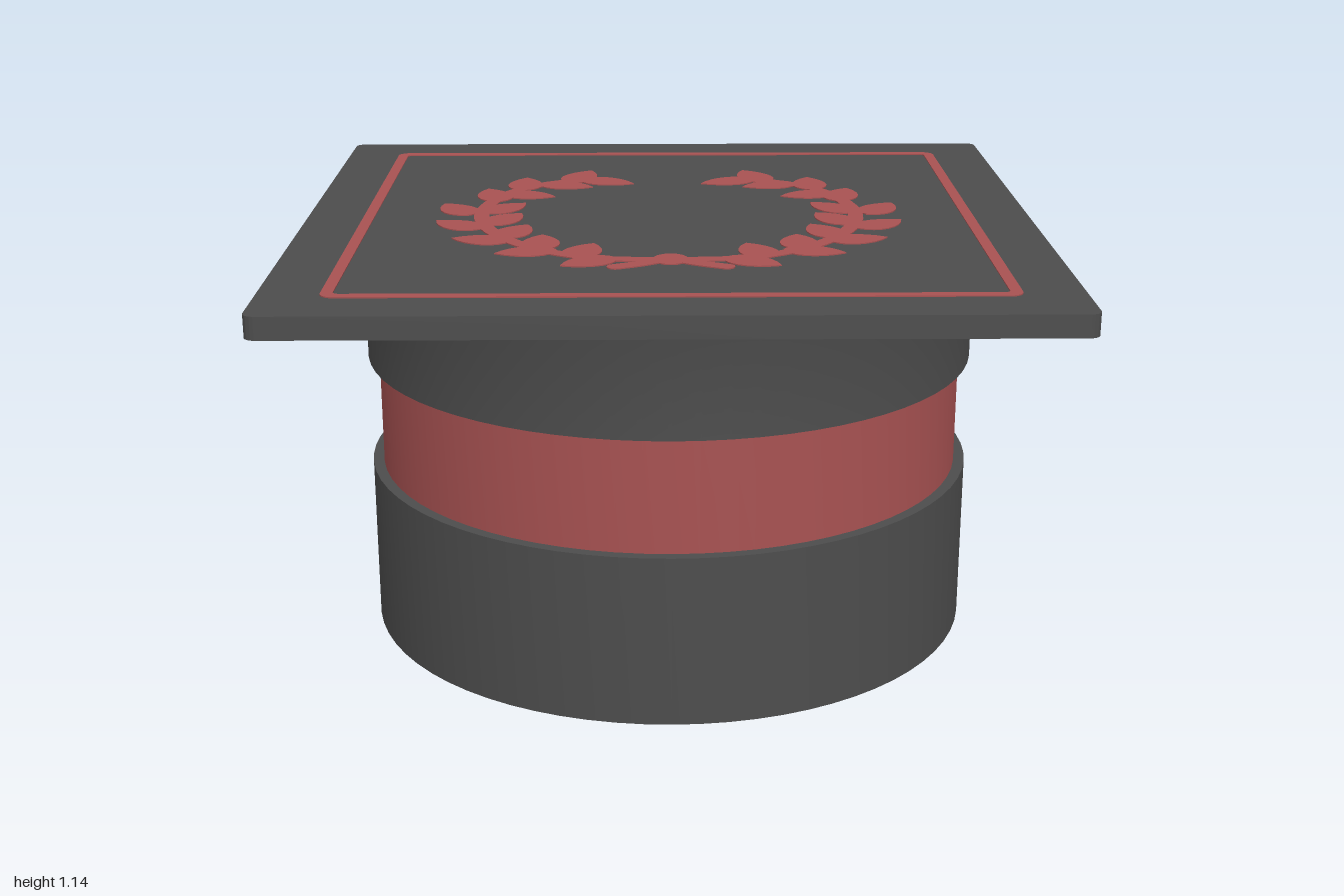
import * as THREE from 'three';
import { toCreasedNormals } from 'three/addons/utils/BufferGeometryUtils.js';

const dark = new THREE.MeshStandardMaterial({ color: 0x4d4d4d });
const red = new THREE.MeshStandardMaterial({ color: 0xa85252 });
const BOARD_TOP = 1.138, BOARD_BOTTOM = 1.08, RAISE = 0.003;

export function createModel() {
  const model = new THREE.Group();

  function add(parent, name, geometry, material) {
    const mesh = new THREE.Mesh(geometry, material);
    mesh.name = name;
    parent.add(mesh);
    return mesh;
  }

  // Surface of revolution with sharp rims
  function turned(profile) {
    const points = profile.map(([r, y]) => new THREE.Vector2(r, y));
    return toCreasedNormals(new THREE.LatheGeometry(points, 72), 0.6);
  }

  // Horizontal plate whose shape lies in x, z and whose upper face is at top
  function plate(shape, top, depth) {
    const g = new THREE.ExtrudeGeometry(shape, { depth, bevelEnabled: false, curveSegments: 8 });
    return toCreasedNormals(g.rotateX(Math.PI / 2).translate(0, top, 0), 0.6);
  }

  function roundedSquare(h, r, Type = THREE.Shape) {
    const s = new Type();
    s.absarc(h - r, h - r, r, 0, Math.PI / 2);
    s.absarc(r - h, h - r, r, Math.PI / 2, Math.PI);
    s.absarc(r - h, r - h, r, Math.PI, Math.PI * 1.5);
    s.absarc(h - r, r - h, r, Math.PI * 1.5, Math.PI * 2);
    s.closePath();
    return s;
  }

  // Crown: lower ring, upper ring flaring into the board, recessed band
  add(model, 'lowerCrown', turned([[0, 0], [0.845, 0], [0.845, 0.462], [0.8, 0.462]]), dark);
  add(model, 'band', turned([[0.815, 0.45], [0.815, 0.785]]), red);
  add(model, 'upperCrown', turned([
    [0.8, 0.773], [0.845, 0.773], [0.845, 1.045], [0.849, 1.06], [0.857, 1.072], [0.872, 1.082],
  ]), dark);

  // Square board and its inlaid border
  add(model, 'board', plate(roundedSquare(1, 0.03), BOARD_TOP, BOARD_TOP - BOARD_BOTTOM), dark);
  const frame = roundedSquare(0.845, 0.035);
  frame.holes.push(roundedSquare(0.815, 0.015, THREE.Path));
  add(model, 'border', plate(frame, BOARD_TOP + RAISE, 0.01), red);

  // Wreath
  const wreath = new THREE.Group();
  wreath.name = 'wreath';
  model.add(wreath);
  const inlay = (name, shape) => add(wreath, name, plate(shape, BOARD_TOP + RAISE, 0.01), red);

  // Pointed leaf from base to tip, fullest nearer the base
  function leafShape([bx, bz], [tx, tz], width) {
    const dx = tx - bx, dz = tz - bz, len = Math.hypot(dx, dz);
    const at = (t, w) => [bx + dx * t - dz / len * w, bz + dz * t + dx / len * w];
    const s = new THREE.Shape();
    s.moveTo(bx, bz);
    s.bezierCurveTo(...at(0.1, width * 0.68), ...at(0.65, width * 0.68), tx, tz);
    s.bezierCurveTo(...at(0.65, -width * 0.68), ...at(0.1, -width * 0.68), bx, bz);
    return s;
  }

  // Strip of constant width along a smooth path
  function stripShape(path, width) {
    const curve = new THREE.SplineCurve(path.map(([x, z]) => new THREE.Vector2(x, z)));
    const left = [], right = [];
    for (let i = 0; i <= 28; i++) {
      const p = curve.getPoint(i / 28), t = curve.getTangent(i / 28);
      const n = new THREE.Vector2(-t.y, t.x).multiplyScalar(width / 2);
      left.push(p.clone().add(n));
      right.unshift(p.clone().sub(n));
    }
    return new THREE.Shape([...left, ...right]);
  }

  function discShape(x, z, rx, rz = rx) {
    const s = new THREE.Shape();
    s.absellipse(x, z, rx, rz, 0, Math.PI * 2);
    return s;
  }

  // Base and tip of each leaf on one branch
  const leaves = [
    [[0.29, -0.41], [0.23, -0.58]], [[0.26, -0.46], [0.10, -0.395]],
    [[0.42, -0.31], [0.42, -0.48]], [[0.38, -0.40], [0.22, -0.35]],
    [[0.48, -0.165], [0.525, -0.33]], [[0.48, -0.27], [0.325, -0.225]],
    [[0.55, 0.0], [0.635, -0.14]], [[0.52, -0.02], [0.405, -0.145]],
    [[0.51, 0.165], [0.64, 0.065]], [[0.50, 0.12], [0.41, -0.02]],
    [[0.42, 0.30], [0.58, 0.265]], [[0.45, 0.27], [0.385, 0.115]],
    [[0.295, 0.39], [0.455, 0.43]], [[0.34, 0.39], [0.34, 0.23]],
    [[0.14, 0.47], [0.28, 0.555]], [[0.25, 0.48], [0.20, 0.325]],
  ];
  const stem = [[0, 0.495], [0.2, 0.475], [0.36, 0.37], [0.475, 0.2],
    [0.52, 0], [0.49, -0.2], [0.4, -0.36], [0.25, -0.46]];

  for (const side of [1, -1]) {
    const label = side > 0 ? 'left' : 'right';
    const flip = ([x, z]) => [x * side, z];
    leaves.forEach(([base, tip], i) =>
      inlay(`${label}Leaf${i + 1}`, leafShape(flip(base), flip(tip), 0.1)));
    inlay(`${label}Stem`, stripShape(stem.map(flip), 0.042));
    inlay(`${label}Tail`, stripShape([[0, 0.48], [0.07, 0.53], [0.14, 0.565]].map(flip), 0.045));
    inlay(`${label}TailEnd`, discShape(0.14 * side, 0.565, 0.0225));
  }
  inlay('knot', discShape(0, 0.49, 0.046, 0.054));

  return model;
}
